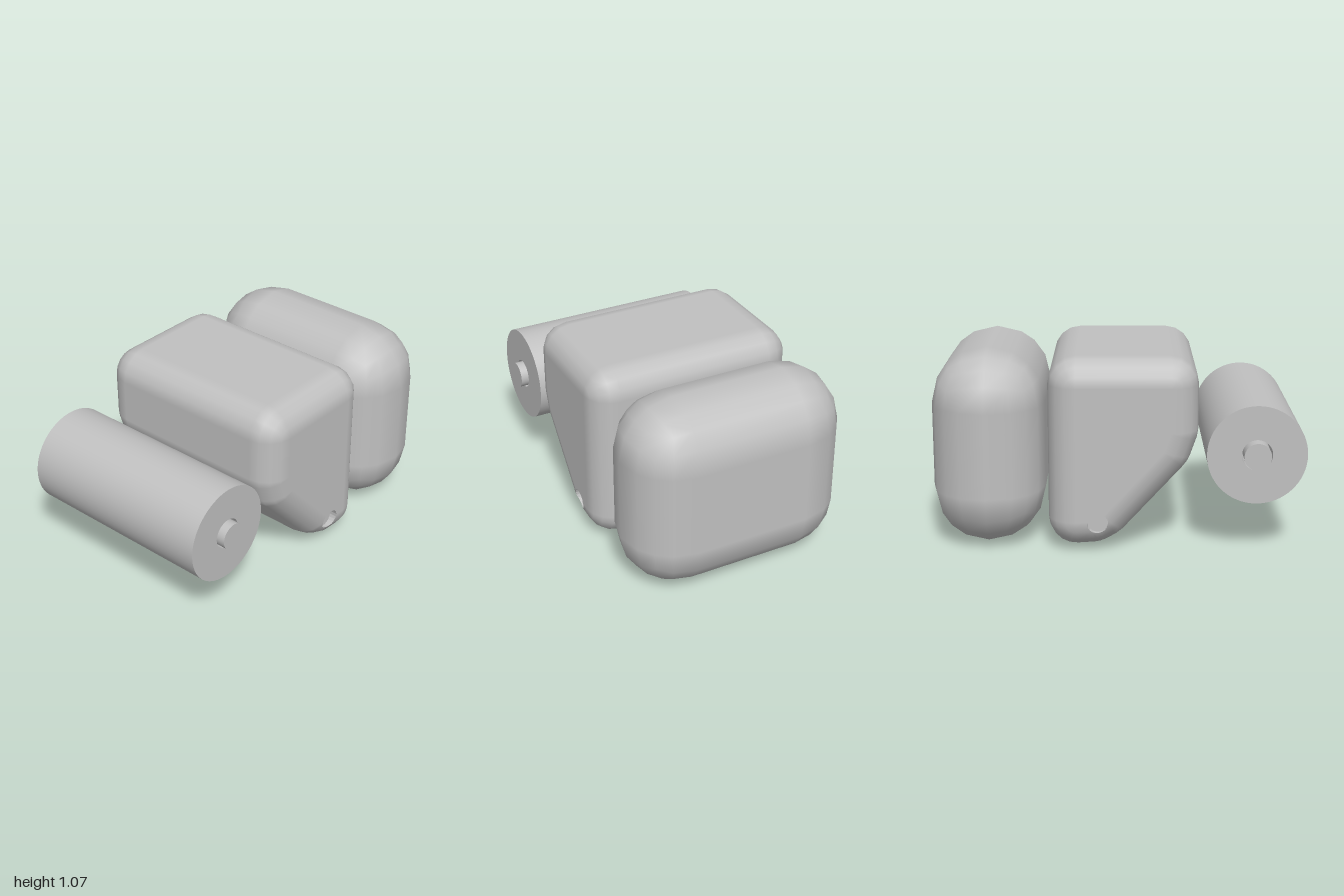
import * as THREE from 'three';
import { mergeGeometries } from 'three/addons/utils/BufferGeometryUtils.js';
import { RoundedBoxGeometry } from 'three/addons/geometries/RoundedBoxGeometry.js';

const V = (x, y, z) => new THREE.Vector3(x, y, z);
const fan = (poly) => poly.slice(2).map((v, i) => [poly[0], poly[i + 1], v]);

// Convex core outline swept by a ball: a rounded prism as a list of triangles.
function roundedPrism(core, radius, halfDepth, steps) {
  const ring = [];
  core.forEach(([x, y], i) => {
    const [px, py] = core[(i + core.length - 1) % core.length];
    const [qx, qy] = core[(i + 1) % core.length];
    const from = Math.atan2(px - x, y - py);
    let turn = Math.atan2(x - qx, qy - y) - from;
    if (turn < 0) turn += 2 * Math.PI;
    const count = Math.ceil(turn / (Math.PI / 2 / steps) - 0.01);
    for (let k = 0; k <= count; k++) ring.push({ x, y, a: from + (turn * k) / count });
  });
  const rows = [];
  for (const side of [-1, 1]) {
    for (let k = 0; k <= steps; k++) {
      const t = (side < 0 ? k - steps : k) * (Math.PI / 2 / steps);
      rows.push(ring.map(({ x, y, a }) => {
        const n = V(Math.cos(a) * Math.cos(t), Math.sin(a) * Math.cos(t), Math.sin(t));
        return { p: V(x, y, side * halfDepth).addScaledVector(n, radius), n };
      }));
    }
  }
  const tris = [];
  for (let j = 0; j + 1 < rows.length; j++) {
    for (let i = 0; i < ring.length; i++) {
      const k = (i + 1) % ring.length;
      tris.push(...fan([rows[j][i], rows[j][k], rows[j + 1][k], rows[j + 1][i]]));
    }
  }
  // Flat end faces
  for (const s of [-1, 1]) {
    const cap = core.map(([x, y]) => ({ p: V(x, y, s * (halfDepth + radius)), n: V(0, 0, s) }));
    tris.push(...fan(s > 0 ? cap : cap.reverse()));
  }
  return tris;
}

// Cuts a round pocket with a flat floor into the faces that look along dir.
function cutPocket(tris, centre, dir, radius, depth) {
  const u = dir.x ? V(0, 1, 0) : V(1, 0, 0);
  const v = dir.clone().cross(u);
  const sides = [];
  for (let i = 0; i < 20; i++) {
    const a = (i / 20) * 2 * Math.PI;
    sides.push(u.clone().multiplyScalar(Math.cos(a)).addScaledVector(v, Math.sin(a)));
  }
  const dist = (p, m) => p.clone().sub(centre).dot(m) - radius;
  const sink = (p) => p.clone().addScaledVector(dir, centre.dot(dir) - depth - p.dot(dir));
  const out = [];
  for (const tri of tris) {
    if (tri.every((c) => c.n.dot(dir) < 0.2)) { out.push(tri); continue; }
    // Keep what lies outside each side of the pocket
    let piece = tri;
    const kept = [];
    for (const m of sides) {
      const inside = [], outside = [];
      piece.forEach((a, i) => {
        const b = piece[(i + 1) % piece.length];
        const da = dist(a.p, m), db = dist(b.p, m);
        (da <= 0 ? inside : outside).push(a);
        if (da * db < 0) {
          const t = da / (da - db);
          const c = { p: a.p.clone().lerp(b.p, t), n: a.n.clone().lerp(b.n, t).normalize() };
          inside.push(c);
          outside.push(c);
        }
      });
      if (outside.length > 2) kept.push(...fan(outside));
      piece = inside;
      if (piece.length < 3) break;
    }
    if (piece.length < 3) { out.push(tri); continue; }
    out.push(...kept);
    // Pocket floor and walls
    out.push(...fan(piece.map((c) => ({ p: sink(c.p), n: dir }))));
    piece.forEach((a, i) => {
      const b = piece[(i + 1) % piece.length];
      const m = sides.find((s) => Math.abs(dist(a.p, s)) < 1e-6 && Math.abs(dist(b.p, s)) < 1e-6);
      if (!m) return;
      const n = m.clone().negate();
      out.push(...fan([a.p, b.p, sink(b.p), sink(a.p)].map((p) => ({ p, n }))));
    });
  }
  return out;
}

function toGeometry(tris) {
  const corners = tris.flat();
  const geometry = new THREE.BufferGeometry();
  const attribute = (key) => new THREE.Float32BufferAttribute(corners.flatMap((c) => c[key].toArray()), 3);
  geometry.setAttribute('position', attribute('p'));
  geometry.setAttribute('normal', attribute('n'));
  return geometry;
}

// Hollow roller along z with sharp rims
function tubeGeometry(inner, outer, half) {
  const profile = [[inner, -half], [outer, -half], [outer, half], [inner, half], [inner, -half]]
    .map(([x, y]) => new THREE.Vector2(x, y));
  const bands = profile.slice(1).map((p, i) => new THREE.LatheGeometry([profile[i], p], 64));
  return mergeGeometries(bands).rotateX(Math.PI / 2);
}

export function createModel() {
  const group = new THREE.Group();
  const grey = new THREE.MeshStandardMaterial({ color: 0xc0c0c0 });
  grey.name = 'plain grey';
  const add = (name, geometry, x = 0, y = 0) => {
    const mesh = new THREE.Mesh(geometry, grey);
    mesh.name = name;
    mesh.position.set(x, y, 0);
    group.add(mesh);
  };

  // Roller with a loose axle through its bore
  add('roller', tubeGeometry(0.082, 0.265, 0.565), -0.735, 0.54);
  add('axle', new THREE.CylinderGeometry(0.072, 0.072, 1.21, 48).rotateX(Math.PI / 2), -0.735, 0.54);

  // Tank with a sloping underside and three pockets
  const core = [[0.22, 0.9], [-0.28, 0.9], [-0.28, 0.66], [-0.245, 0.56], [0.075, 0.21], [0.13, 0.18], [0.22, 0.174]];
  let tank = roundedPrism(core, 0.15, 0.447, 4);
  for (const s of [-1, 1]) tank = cutPocket(tank, V(0.105, 0.17, s * 0.597), V(0, 0, s), 0.056, 0.045);
  tank = cutPocket(tank, V(0.37, 0.17, 0), V(1, 0, 0), 0.056, 0.045);
  add('tank', toGeometry(tank));

  // Pillow-shaped block
  add('roundedBlock', new RoundedBoxGeometry(0.61, 1.07, 1.24, 2, 0.304), 0.695, 0.537);

  return group;
}
